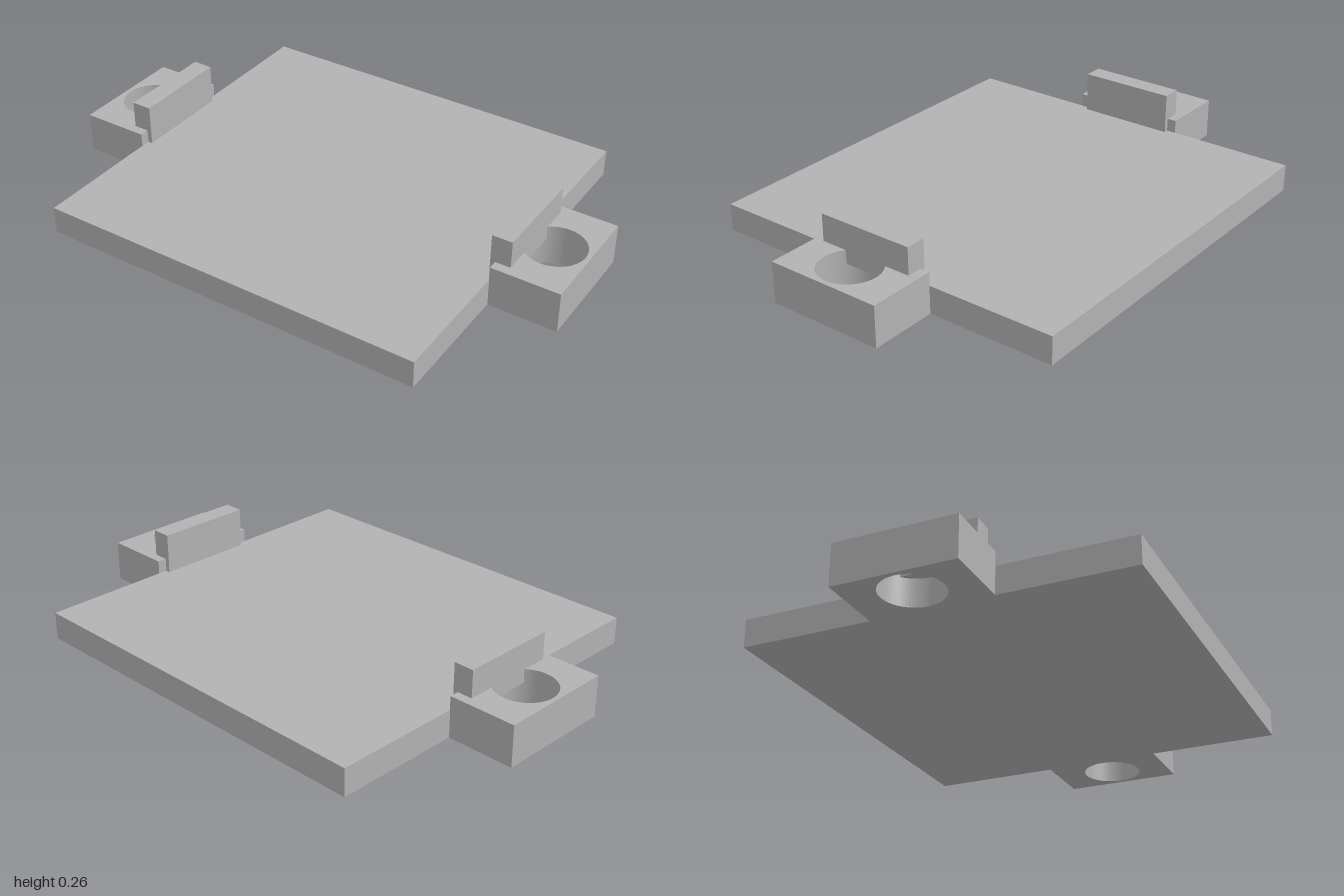
import * as THREE from 'three';

const grey = new THREE.MeshStandardMaterial({ color: 0xb2b2b2 });
grey.name = 'plain grey';

// Box given by its lower and upper corners
function box(name, [x0, y0, z0], [x1, y1, z1]) {
  const geometry = new THREE.BoxGeometry(x1 - x0, y1 - y0, z1 - z0);
  geometry.translate((x0 + x1) / 2, (y0 + y1) / 2, (z0 + z1) / 2);
  const mesh = new THREE.Mesh(geometry, grey);
  mesh.name = name;
  return mesh;
}

// Mounting ear with a vertical screw hole
function mountingEar(name) {
  const shape = new THREE.Shape();
  shape.moveTo(-0.129, -0.223);
  shape.lineTo(0.129, -0.223);
  shape.lineTo(0.129, 0.223);
  shape.lineTo(-0.129, 0.223);
  shape.closePath();
  const hole = new THREE.Path();
  hole.absarc(0, 0, 0.112, 0, Math.PI * 2, true);
  shape.holes.push(hole);
  const geometry = new THREE.ExtrudeGeometry(shape, { depth: 0.155, bevelEnabled: false, curveSegments: 32 });
  geometry.rotateX(-Math.PI / 2);
  const mesh = new THREE.Mesh(geometry, grey);
  mesh.name = name;
  return mesh;
}

export function createModel() {
  const model = new THREE.Group();
  model.name = 'mountingPlate';

  // Base plate
  model.add(box('basePlate', [-0.743, 0, -0.709], [0.743, 0.104, 0.709]));

  // Ear and upright stop on each side
  for (const [side, label] of [[1, 'left'], [-1, 'right']]) {
    const ear = mountingEar(label + 'Ear');
    ear.position.x = side * 0.871;
    model.add(ear);
    const inner = side * 0.724, outer = side * 0.8;
    model.add(box(label + 'Stop',
      [Math.min(inner, outer), 0.104, -0.187],
      [Math.max(inner, outer), 0.258, 0.187]));
  }
  return model;
}
